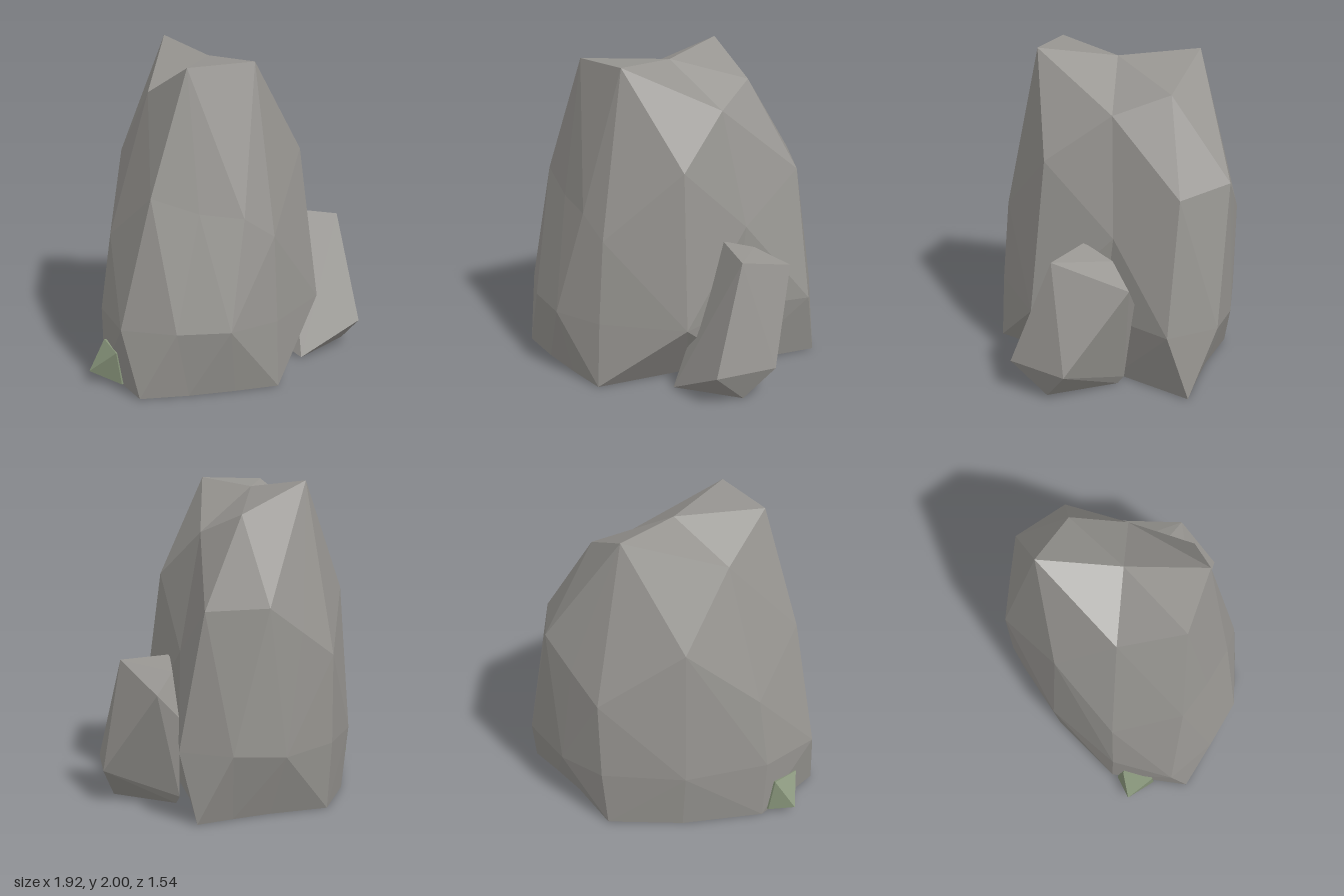
import * as THREE from 'three';
import { ConvexGeometry } from 'three/addons/geometries/ConvexGeometry.js';

const stone = new THREE.MeshStandardMaterial({ color: 0x969490, flatShading: true });
stone.name = 'grey stone';
const moss = new THREE.MeshStandardMaterial({ color: 0x87947a, flatShading: true });
moss.name = 'mossy green stone';

const vec = (p) => new THREE.Vector3(...p);

// Faceted skin over rings of equal count; each quad is split along its outward ridge
function facetedLoft(rings, bottom, top) {
  const pos = [];
  const tri = (a, b, c) => {
    const area = b.clone().sub(a).cross(c.clone().sub(a)).length();
    if (area > 1e-5) for (const p of [a, b, c]) pos.push(p.x, p.y, p.z);
  };
  const n = rings[0].length;
  for (let i = 0; i < n; i++) {
    const k = (i + 1) % n;
    for (let r = 0; r < rings.length - 1; r++) {
      const a = rings[r][i], b = rings[r][k], c = rings[r + 1][k], d = rings[r + 1][i];
      const normal = b.clone().sub(a).cross(d.clone().sub(a));
      if (normal.dot(c.clone().sub(a)) <= 0) {
        tri(a, b, d); tri(b, c, d);
      } else {
        tri(a, b, c); tri(a, c, d);
      }
    }
    tri(bottom, rings[0][k], rings[0][i]);
    tri(top, rings[rings.length - 1][i], rings[rings.length - 1][k]);
  }
  const geo = new THREE.BufferGeometry();
  geo.setAttribute('position', new THREE.Float32BufferAttribute(pos, 3));
  geo.computeVertexNormals();
  return geo;
}

function addMesh(group, name, geo, material) {
  const mesh = new THREE.Mesh(geo, material);
  mesh.name = name;
  group.add(mesh);
}

export function createModel() {
  const group = new THREE.Group();
  group.name = 'rocks';

  // Boulder cross-sections, from the front round by +x to the back and -x
  const foot = [
    [0.02, 0, 0.765], [0.3, 0, 0.23], [0.48, 0, -0.07], [0.745, 0, -0.55],
    [0.51, 0, -0.58], [0.26, 0, -0.62], [-0.1, 0, -0.72], [-0.47, 0, -0.41],
    [-0.8, 0, 0], [-0.81, 0, 0.515], [-0.53, 0, 0.62], [-0.25, 0, 0.7],
  ];
  const belly = [
    [0.02, 0.42, 0.745], [0.495, 0.41, 0.47], [0.52, 0.42, 0], [0.785, 0.42, -0.42],
    [0.595, 0.42, -0.71], [0.25, 0.38, -0.77], [-0.1, 0.42, -0.765], [-0.51, 0.4, -0.43],
    [-0.815, 0.42, 0.01], [-0.875, 0.42, 0.405], [-0.62, 0.42, 0.64], [-0.32, 0.42, 0.77],
  ];
  const shoulder = [
    [0.02, 0.95, 0.7], [0.4, 1.38, 0.385], [0.54, 0.95, -0.06], [0.63, 1.25, -0.47],
    [0.36, 1.28, -0.75], [0.13, 1.12, -0.765], [-0.095, 0.965, -0.775], [-0.465, 1.31, -0.385],
    [-0.74, 0.89, 0], [-0.675, 1.22, 0.43], [-0.42, 1.12, 0.56], [-0.17, 1.08, 0.665],
  ];
  const front = [0, 1.985, 0.49], peak = [-0.075, 2, -0.52], corner = [-0.41, 1.97, 0.4];
  const crown = [
    front, front, [0.365, 1.675, -0.03], [0.3, 1.8, -0.38], peak, peak,
    peak, peak, [-0.465, 1.757, 0], corner, corner, front,
  ];
  const rings = [foot, belly, shoulder, crown].map((ring) => ring.map(vec));
  addMesh(group, 'boulder', facetedLoft(rings, vec([0, 0, 0]), vec([-0.035, 1.945, -0.01])), stone);

  // Smaller stone leaning on the boulder's hollow side
  addMesh(group, 'smallStone', new ConvexGeometry([
    [0.5, 0.9, 0.125], [0.765, 0.87, 0.285], [0.6, 0.83, -0.065], [0.79, 0.72, -0.19],
    [0.645, 0.57, -0.205], [0.957, 0.2, 0.185], [0.78, 0.205, 0.545], [0.81, 0, 0.315],
    [0.385, 0, 0.47], [0.32, 0.06, 0.3], [0.6, 0, -0.095], [0.6, 0.05, -0.135],
  ].map(vec)), stone);

  // Mossy chip poking out low on the other side, just showing through the underside
  addMesh(group, 'mossyChip', new ConvexGeometry([
    [-0.965, 0.07, 0.13], [-0.82, 0.025, 0.04], [-0.82, 0.01, 0.29],
    [-0.835, 0.24, 0.08], [-0.85, 0.22, 0.28], [-0.65, 0.2, 0.16],
    [-0.73, -0.002, 0.15], [-0.65, -0.002, 0.22], [-0.57, -0.002, 0.15], [-0.65, -0.002, 0.08],
  ].map(vec)), moss);

  return group;
}
